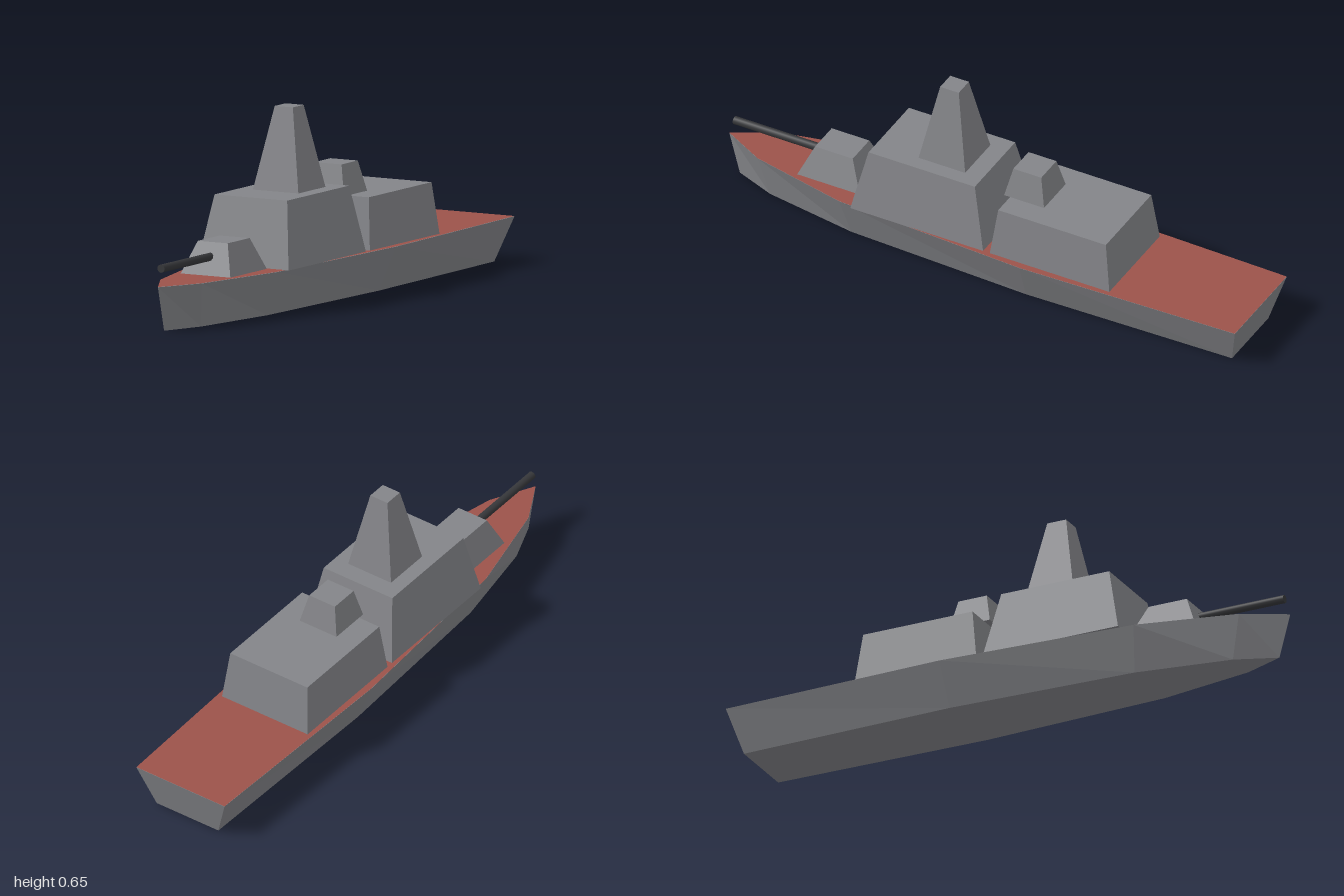
import * as THREE from 'three';

const mat = (name, color) => {
  const m = new THREE.MeshStandardMaterial({ color });
  m.name = name;
  return m;
};

const DECK = 0.15;

export function createModel() {
  const ship = new THREE.Group();
  ship.name = 'warship';
  const grey = mat('hull grey', 0x838488);
  const red = mat('deck red', 0x9c524a);
  const dark = mat('gun dark grey', 0x36373a);

  const add = (name, geometry, material) => {
    const mesh = new THREE.Mesh(geometry, material);
    mesh.name = name;
    ship.add(mesh);
    return mesh;
  };

  // Deck outline: half width and z from stern to bow, mirrored across the keel
  const half = [[0.18, -1], [0.2, -0.2], [0.16, 0.5], [0.08, 0.85]];
  const outline = new THREE.Shape([
    ...half.map(([x, z]) => new THREE.Vector2(x, -z)),
    new THREE.Vector2(0, -1),
    ...half.slice().reverse().map(([x, z]) => new THREE.Vector2(-x, -z)),
  ]);

  // Hull: the outline extruded upwards, with its bottom drawn inwards
  const hull = new THREE.ExtrudeGeometry(outline, { depth: DECK, bevelEnabled: false });
  hull.rotateX(-Math.PI / 2);
  const p = hull.attributes.position;
  for (let i = 0; i < p.count; i++) {
    if (p.getY(i) < DECK / 2) {
      p.setX(i, p.getX(i) * 0.7);
      p.setZ(i, p.getZ(i) * 0.96);
    }
  }
  hull.computeVertexNormals();
  add('hull', hull, grey);

  // Painted deck surface
  const deck = new THREE.ShapeGeometry(outline);
  deck.rotateX(-Math.PI / 2);
  add('deck', deck, red).position.y = DECK + 0.001;

  // Box whose top is scaled by the taper
  const block = (name, width, length, y0, y1, z, taper) => {
    const g = new THREE.BoxGeometry(width, y1 - y0, length);
    const v = g.attributes.position;
    for (let i = 0; i < v.count; i++) {
      if (v.getY(i) > 0) {
        v.setX(i, v.getX(i) * taper);
        v.setZ(i, v.getZ(i) * taper);
      }
    }
    g.computeVertexNormals();
    add(name, g, grey).position.set(0, (y0 + y1) / 2, z);
  };

  // Superstructure
  block('bridge', 0.35, 0.5, DECK, 0.375, 0.2, 0.8);
  block('mast', 0.175, 0.175, 0.375, 0.652, 0.1525, 0.4);
  block('aftHouse', 0.35, 0.45, DECK, 0.325, -0.3, 0.9);
  block('aftTower', 0.15, 0.15, 0.325, 0.427, -0.15, 0.7);

  // Gun turret and barrel
  block('gunTurret', 0.192, 0.236, DECK, 0.257, 0.575, 0.6);
  const barrel = new THREE.CylinderGeometry(0.014, 0.014, 0.36, 10);
  barrel.rotateX(Math.PI / 2);
  add('gunBarrel', barrel, dark).position.set(0, 0.21, 0.8);

  return ship;
}
